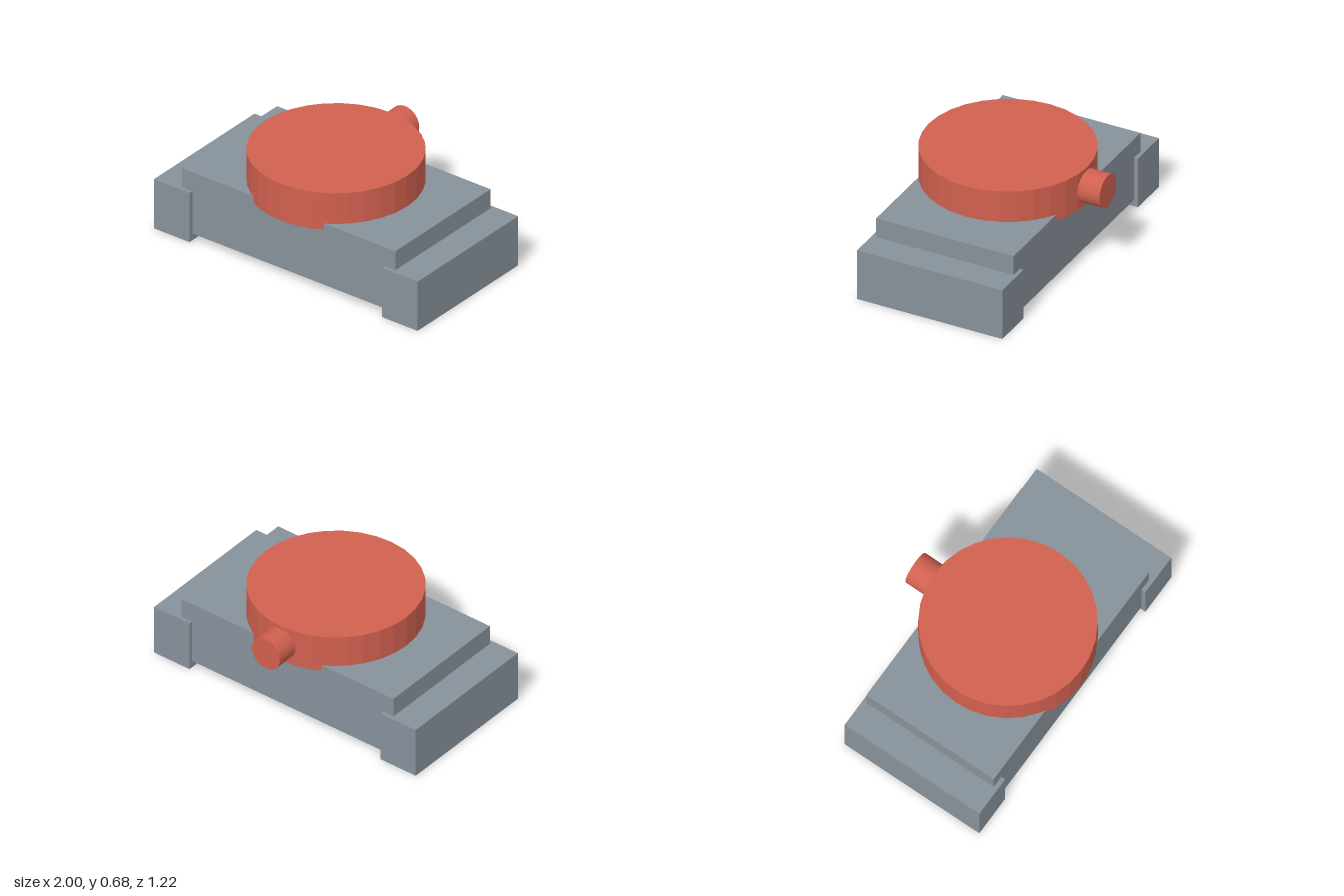
import * as THREE from 'three';

export function createModel() {
  const model = new THREE.Group();
  const slate = new THREE.MeshStandardMaterial({ color: 0x87919a, flatShading: true });
  const red = new THREE.MeshStandardMaterial({ color: 0xd0604f, flatShading: true });

  const add = (name, geometry, material, x, y, z) => {
    const mesh = new THREE.Mesh(geometry, material);
    mesh.name = name;
    mesh.position.set(x, y, z);
    model.add(mesh);
    return mesh;
  };

  // Main block, raised slightly off the ground
  add('body', new THREE.BoxGeometry(1.62, 0.425, 0.935), slate, 0, 0.2595, 0.068);

  // End blocks that carry the body
  for (const [name, side] of [['leftEndBlock', 1], ['rightEndBlock', -1]]) {
    add(name, new THREE.BoxGeometry(0.27, 0.341, 0.988), slate, side * 0.865, 0.1705, 0.07);
  }

  // Round disc sunk a little into the top, overhanging front and back
  add('disc', new THREE.CylinderGeometry(0.539, 0.539, 0.255, 32), red, 0, 0.557, 0.07);

  // Short pin out of the back of the disc
  const pin = new THREE.CylinderGeometry(0.107, 0.107, 0.21, 32).rotateX(Math.PI / 2);
  add('pin', pin, red, 0, 0.557, -0.504);

  return model;
}
